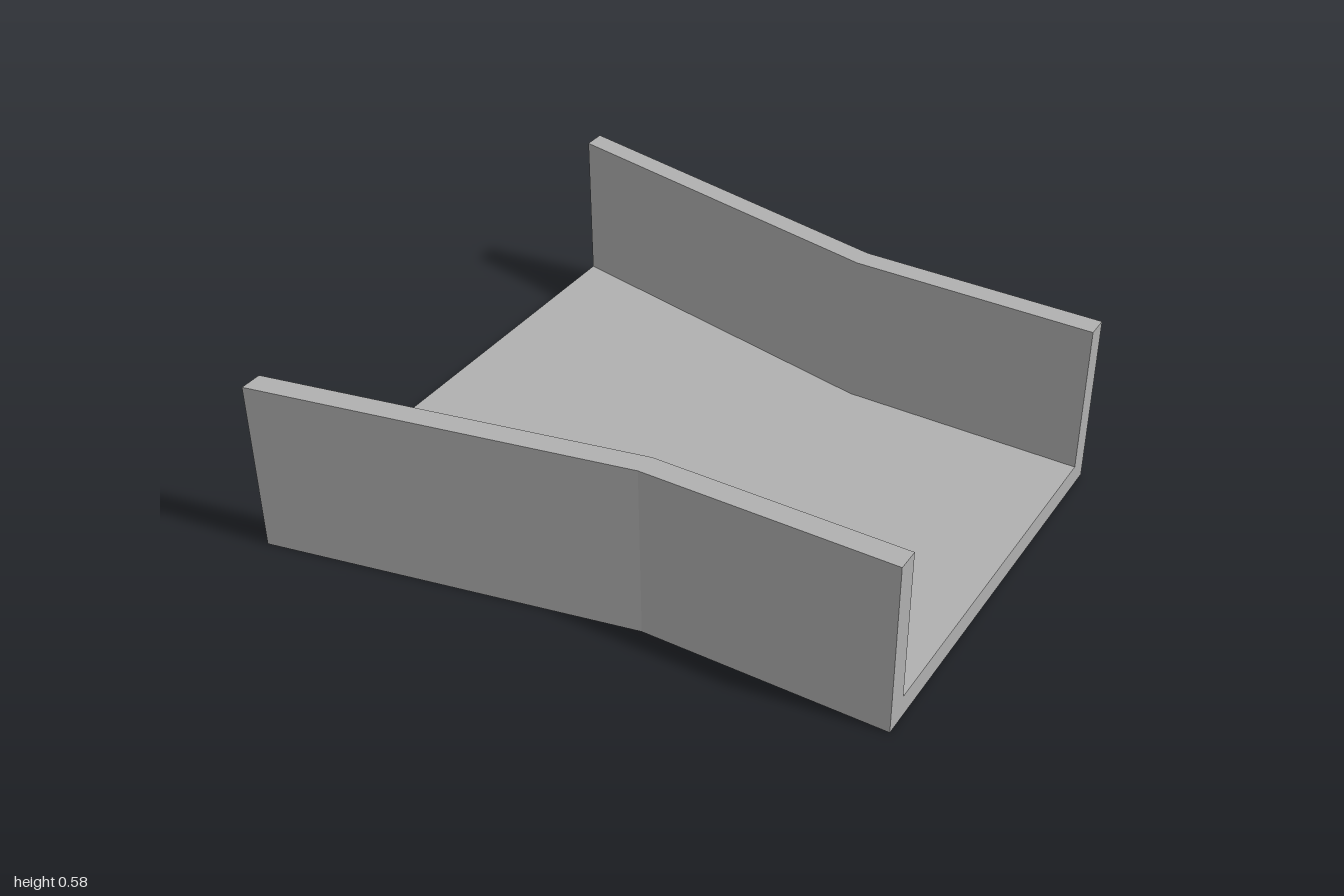
import * as THREE from 'three';
import { toCreasedNormals } from 'three/addons/utils/BufferGeometryUtils.js';

const HEIGHT = 0.58, FLOOR = 0.075, WALL = 0.073;
const HOLE_R = 0.036, HOLE_DEPTH = 0.06;
// stations along the channel: [x, outer half width]
const STATIONS = [[-1, 0.935], [0.2, 0.685], [1, 0.685]];

// U-shaped cross-section, counter-clockwise seen from +x, as [-z, y]
function section(outer) {
  const inner = outer - WALL;
  return [[-outer, 0], [outer, 0], [outer, HEIGHT], [inner, HEIGHT],
    [inner, FLOOR], [-inner, FLOOR], [-inner, HEIGHT], [-outer, HEIGHT]];
}

// Walls and floor top, lofted between stations (underside is separate)
function channelGeometry() {
  const pos = [];
  for (let k = 0; k < STATIONS.length - 1; k++) {
    const [x0, w0] = STATIONS[k], [x1, w1] = STATIONS[k + 1];
    const s0 = section(w0), s1 = section(w1);
    for (let i = 1; i < s0.length; i++) {
      const j = (i + 1) % s0.length;
      const p = (s, n, x) => [x, s[n][1], -s[n][0]];
      const a = p(s0, i, x0), b = p(s0, j, x0), c = p(s1, j, x1), d = p(s1, i, x1);
      pos.push(...a, ...b, ...c, ...a, ...c, ...d);
    }
  }
  const geo = new THREE.BufferGeometry();
  geo.setAttribute('position', new THREE.Float32BufferAttribute(pos, 3));
  geo.computeVertexNormals();
  return geo;
}

export function createModel() {
  const group = new THREE.Group();
  group.name = 'flaredChannel';
  const grey = new THREE.MeshStandardMaterial({ color: 0xb0b0b0 });
  grey.name = 'grey';
  const add = (name, geo) => {
    const mesh = new THREE.Mesh(geo, grey);
    mesh.name = name;
    group.add(mesh);
    return mesh;
  };

  add('channelBody', channelGeometry());

  // U-shaped end faces
  for (const [name, [x, w], dir] of [['wideEnd', STATIONS[0], -1], ['narrowEnd', STATIONS[2], 1]]) {
    const shape = new THREE.Shape(section(w).map(p => new THREE.Vector2(...p)));
    add(name, new THREE.ShapeGeometry(shape).rotateY(dir * Math.PI / 2).translate(x, 0, 0));
  }

  // Underside with four blind mounting holes
  const outline = [
    ...STATIONS.map(([x, w]) => new THREE.Vector2(x, -w)),
    ...[...STATIONS].reverse().map(([x, w]) => new THREE.Vector2(x, w)),
  ];
  const under = new THREE.Shape(outline);
  const pocket = toCreasedNormals(new THREE.LatheGeometry([
    new THREE.Vector2(0, HOLE_DEPTH),
    new THREE.Vector2(HOLE_R, HOLE_DEPTH),
    new THREE.Vector2(HOLE_R, 0),
  ], 32), 0.6);
  for (const x of [-0.8, 0.8]) {
    for (const z of [-0.308, 0.308]) {
      under.holes.push(new THREE.Path().absarc(x, z, HOLE_R, 0, Math.PI * 2, true));
      add('mountingHole', pocket).position.set(x, 0, z);
    }
  }
  add('underside', new THREE.ShapeGeometry(under, 32).rotateX(Math.PI / 2));

  return group;
}
